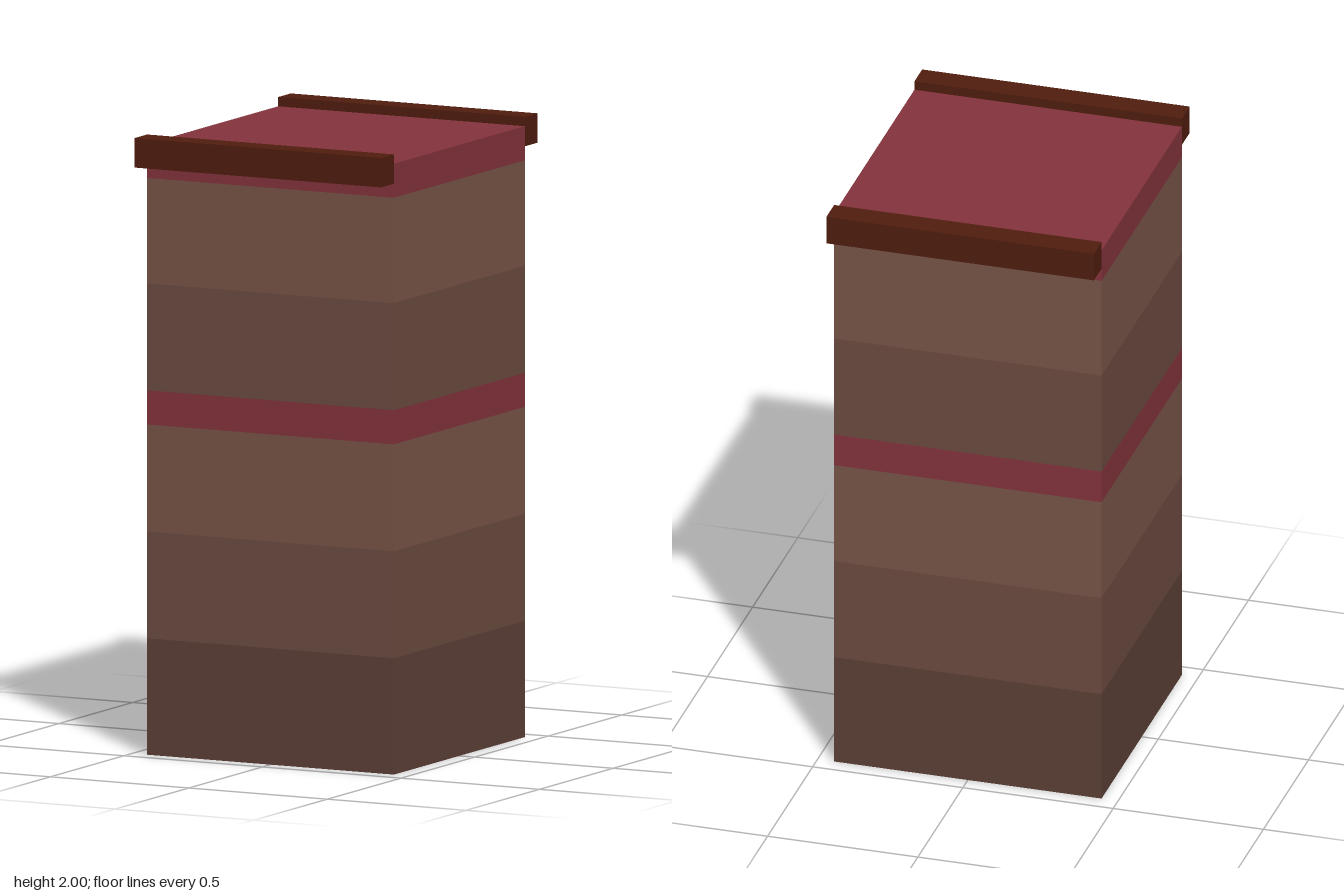
import * as THREE from 'three';

const WIDTH = 0.89;

function addBox(group, name, color, size, position) {
  const mesh = new THREE.Mesh(
    new THREE.BoxGeometry(...size),
    new THREE.MeshStandardMaterial({ color })
  );
  mesh.name = name;
  mesh.position.set(...position);
  group.add(mesh);
}

export function createModel() {
  const model = new THREE.Group();
  model.name = 'tower';

  // Stacked square bands: name, colour, top height
  const bands = [
    ['base', 0x5d4037, 0.375],
    ['lowerWallDark', 0x6d4c41, 0.72],
    ['lowerWallLight', 0x795548, 1.065],
    ['middleTrim', 0x85333d, 1.175],
    ['upperWallDark', 0x6d4c41, 1.52],
    ['upperWallLight', 0x795548, 1.86],
    ['roofSlab', 0x85333d, 1.97],
  ];
  let bottom = 0;
  for (const [name, color, top] of bands) {
    addBox(model, name, color, [WIDTH, top - bottom, WIDTH], [0, (top + bottom) / 2, 0]);
    bottom = top;
  }

  // Ledge rails on the front and back of the roof
  for (const [name, side] of [['frontRail', 1], ['backRail', -1]]) {
    addBox(model, name, 0x511d0e, [WIDTH, 0.095, 0.086], [0, 1.9525, side * (WIDTH / 2 + 0.043)]);
  }

  return model;
}
